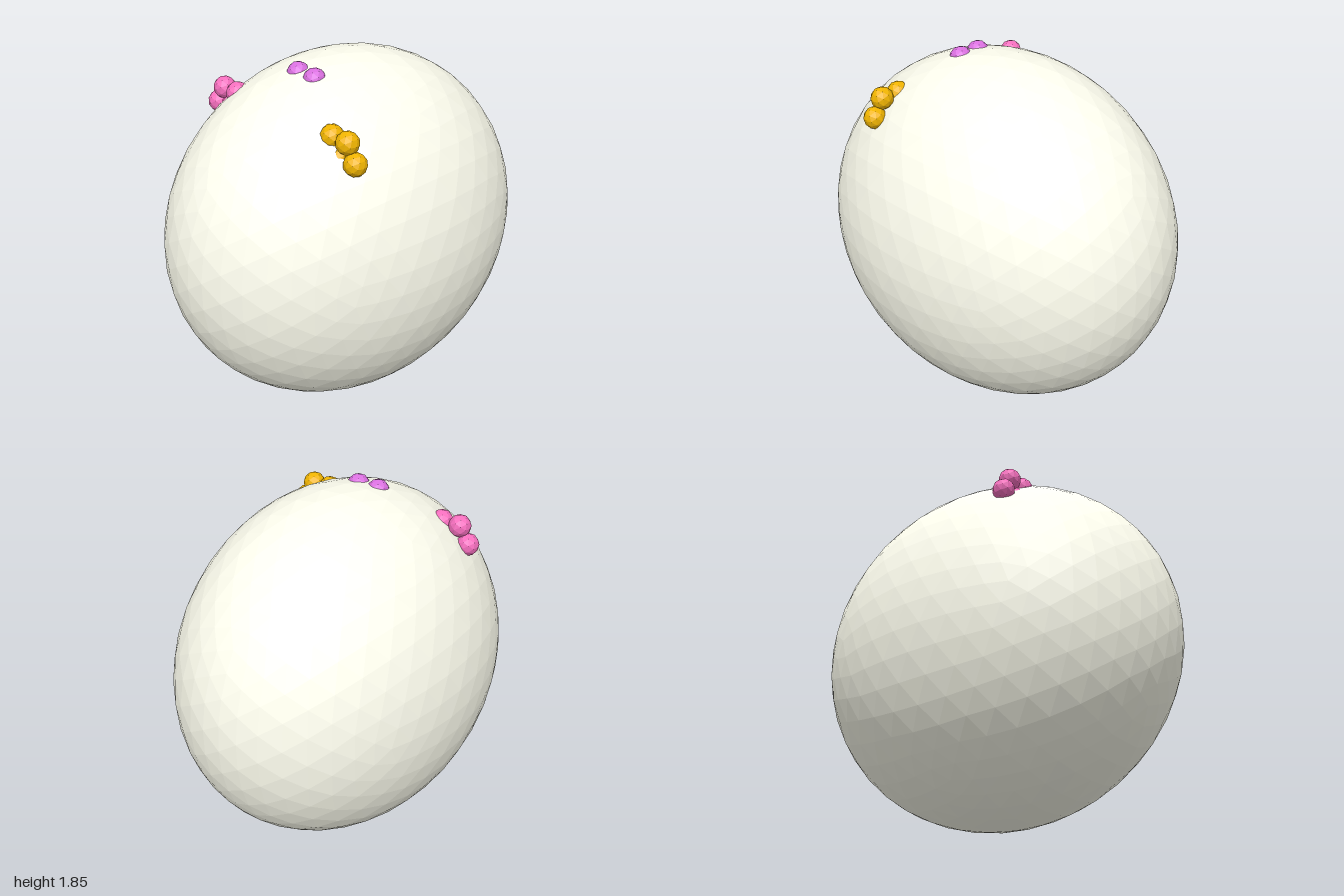
import * as THREE from 'three';

const RADIUS = 0.058; // ornament bead radius

function material(color) {
  return new THREE.MeshStandardMaterial({ color, flatShading: true });
}

export function createModel() {
  const model = new THREE.Group();
  model.name = 'decoratedEgg';

  // Faceted ellipsoid shell standing on the ground
  const shell = new THREE.IcosahedronGeometry(1, 7);
  shell.scale(0.765, 0.9225, 1);
  shell.translate(0, 0.9225, 0);
  const egg = new THREE.Mesh(shell, material(0xfffff0));
  egg.name = 'eggShell';
  model.add(egg);

  const beadGeometry = new THREE.IcosahedronGeometry(RADIUS, 1);
  function addBead(group, name, mat, x, y, z) {
    const bead = new THREE.Mesh(beadGeometry, mat);
    bead.name = name;
    bead.position.set(x, y, z);
    group.add(bead);
  }

  // Side flowers: a centre bead and six petals, half sunk into the shell
  function addFlower(name, x, color) {
    const flower = new THREE.Group();
    flower.name = name;
    flower.position.set(x, 1.555, 0.385);
    const mat = material(color);
    addBead(flower, 'flowerCentre', mat, 0, 0, 0);
    for (let i = 0; i < 6; i++) {
      const a = (i * Math.PI) / 3;
      addBead(flower, 'petal', mat, 0.102 * Math.cos(a), 0.102 * Math.sin(a), 0);
    }
    model.add(flower);
  }
  addFlower('leftFlower', 0.395, 0xf0b400);
  addFlower('rightFlower', -0.395, 0xf56fbe);

  // Top flower: only its upper two petals rise out of the shell
  const topFlower = new THREE.Group();
  topFlower.name = 'topFlower';
  const orchid = material(0xda70e0);
  for (const side of [-1, 1]) addBead(topFlower, 'petal', orchid, side * 0.058, 1.79, 0.232);
  model.add(topFlower);

  return model;
}
